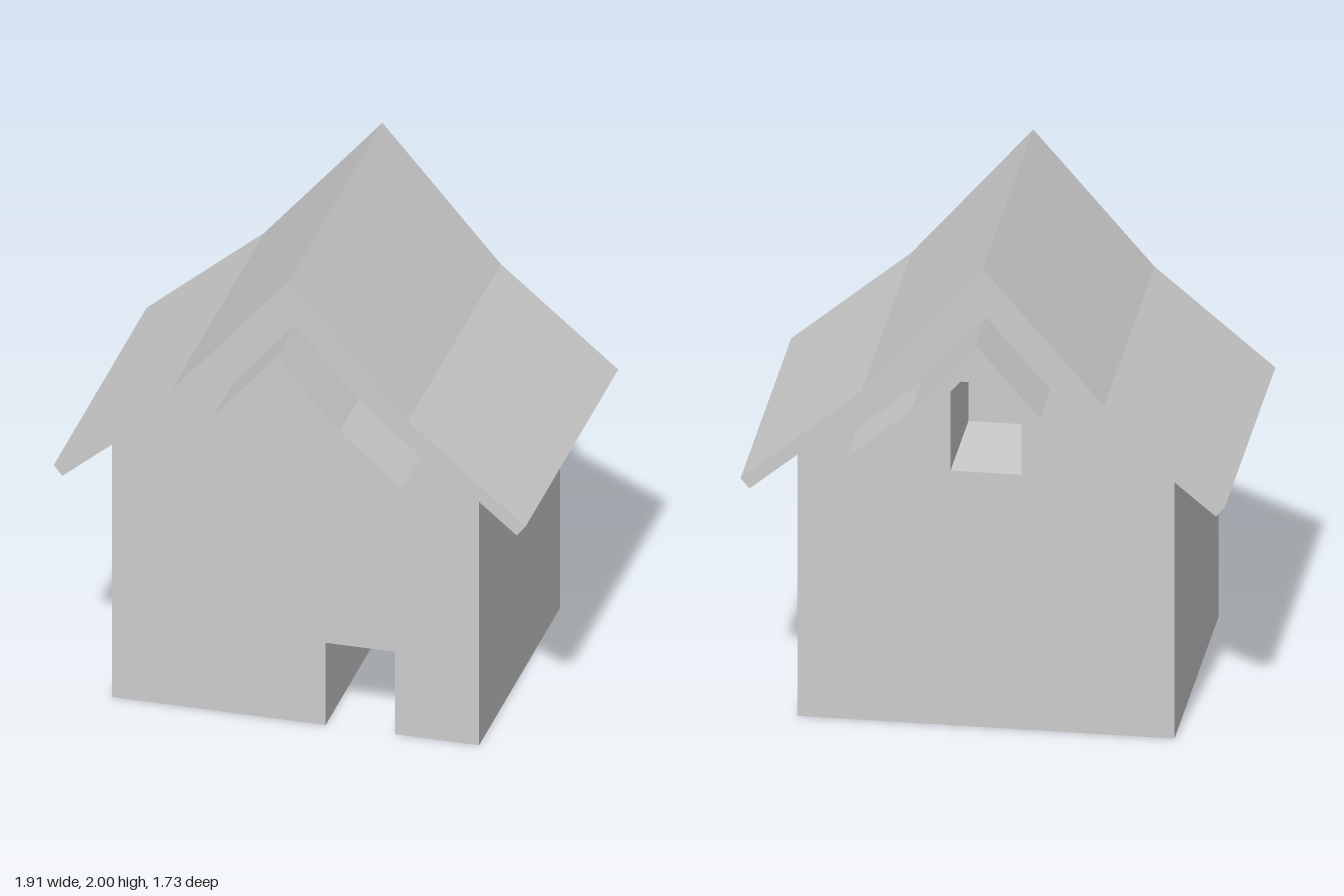
import * as THREE from 'three';

const grey = new THREE.MeshStandardMaterial({ color: 0xcccccc });
grey.name = 'plain grey';

// Underside of the main roof, from ridge to eave
const under = [[0, 1.913], [0.435, 1.405], [0.922, 1.0]];

const toShape = (pts) => new THREE.Shape(pts.map(([x, y]) => new THREE.Vector2(x, y)));

// Extrude a front-facing outline between two depths
function slab(name, shape, z0, z1) {
  const geo = new THREE.ExtrudeGeometry(shape, { depth: z1 - z0, bevelEnabled: false });
  geo.translate(0, 0, z0);
  const mesh = new THREE.Mesh(geo, grey);
  mesh.name = name;
  return mesh;
}

// Bent roof outline: half profiles run from ridge to eave and are mirrored
function roofShape(outer, inner) {
  const mirror = (half) => [...half.slice(1).reverse().map(([x, y]) => [-x, y]), ...half];
  return toShape([...mirror(outer), ...mirror(inner).reverse()]);
}

// House outline, optionally with a doorway notch in the bottom edge
function wallShape(withDoor) {
  const door = withDoor ? [[0.122, 0], [0.122, 0.365], [0.403, 0.365], [0.403, 0]] : [];
  const [ridge, bend] = under;
  return toShape([
    [-0.745, 0], ...door, [0.745, 0], [0.745, 1.148], bend, ridge,
    [-bend[0], bend[1]], [-0.745, 1.148],
  ]);
}

export function createModel() {
  const model = new THREE.Group();
  model.name = 'house';

  // Walls: the front part has the doorway, the back part the window recess
  const backWall = wallShape(false);
  backWall.holes.push(new THREE.Path([[-0.14, 1.09], [-0.14, 1.473], [0.14, 1.473], [0.14, 1.09]]
    .map(([x, y]) => new THREE.Vector2(x, y))));
  model.add(slab('frontWalls', wallShape(true), -0.11, 0.59));
  model.add(slab('backWalls', backWall, -0.59, -0.11));

  // Main roof
  const mainOuter = [[0, 2], [0.48, 1.443], [0.957, 1.043]];
  model.add(slab('mainRoof', roofShape(mainOuter, under), -0.677, 0.677));

  // Small canopy roofs over both gables
  const smallOuter = [[0, 1.757], [0.255, 1.46], [0.508, 1.247]];
  const smallInner = [[0, 1.667], [0.215, 1.415], [0.473, 1.2]];
  const small = roofShape(smallOuter, smallInner);
  model.add(slab('frontCanopy', small, 0.55, 0.866));
  model.add(slab('backCanopy', small, -0.866, -0.55));

  return model;
}
